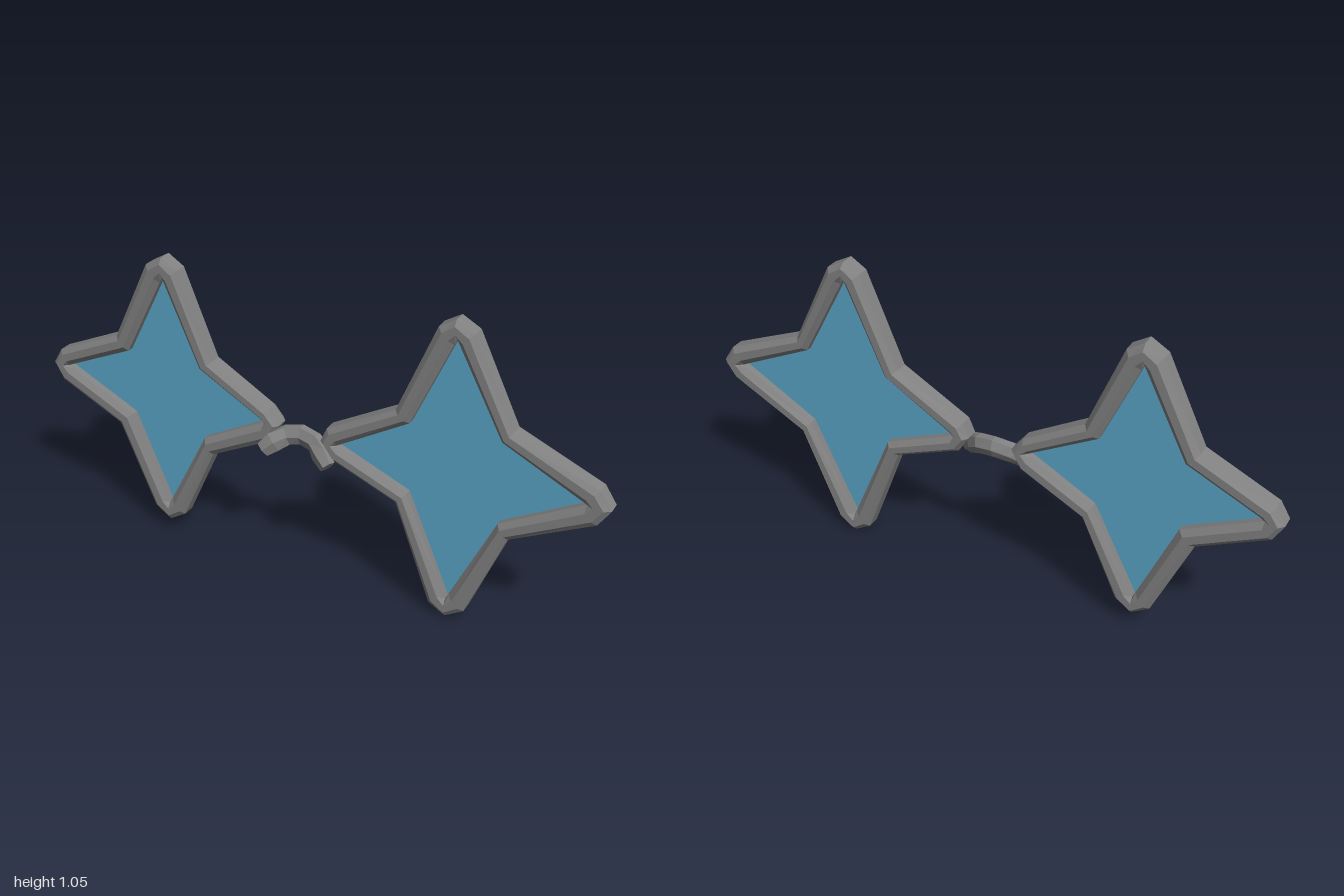
import * as THREE from 'three';

const frameGrey = new THREE.MeshStandardMaterial({ color: 0x828282, flatShading: true });
frameGrey.name = 'frameGrey';
const lensBlue = new THREE.MeshStandardMaterial({ color: 0x5aa5c8, side: THREE.DoubleSide });
lensBlue.name = 'lensBlue';

// Flat-sided skin over a row of cross-section rings, looped or capped
function loft(rings, looped) {
  const pos = [];
  const tri = (...pts) => pts.forEach((p) => pos.push(p.x, p.y, p.z));
  const n = rings.length, m = rings[0].length;
  for (let i = 0; i < (looped ? n : n - 1); i++) {
    const r = rings[i], s = rings[(i + 1) % n];
    for (let j = 0; j < m; j++) {
      const k = (j + 1) % m;
      tri(r[j], s[j], s[k]);
      tri(r[j], s[k], r[k]);
    }
  }
  if (!looped) {
    const a = rings[0], b = rings[n - 1];
    for (let j = 1; j < m - 1; j++) {
      tri(a[0], a[j], a[j + 1]);
      tri(b[0], b[j + 1], b[j]);
    }
  }
  const g = new THREE.BufferGeometry();
  g.setAttribute('position', new THREE.Float32BufferAttribute(pos, 3));
  g.computeVertexNormals();
  return g;
}

// Rim cross-section: [0 outer .. 1 inner, z]
const rimSection = [
  [0, 0.012], [0, -0.032], [0.28, -0.051], [0.7, -0.051],
  [1, -0.034], [1, 0.01], [0.7, 0.026], [0.28, 0.026],
];

// Clockwise outlines from the top; each blunt tip has three outer points
const leftOfView = {
  outer: [
    [-0.59, 1.005], [-0.53, 1.04], [-0.474, 1.005], [-0.356, 0.711],
    [-0.147, 0.59], [-0.108, 0.54], [-0.142, 0.475], [-0.362, 0.363],
    [-0.488, 0.086], [-0.549, 0.048], [-0.608, 0.086], [-0.736, 0.385],
    [-0.967, 0.497], [-1, 0.557], [-0.967, 0.612], [-0.726, 0.722],
  ],
  lens: [
    [-0.533, 0.968], [-0.404, 0.674], [-0.163, 0.54], [-0.394, 0.417],
    [-0.549, 0.115], [-0.683, 0.433], [-0.94, 0.557], [-0.683, 0.674],
  ],
};
const rightOfView = {
  outer: [
    [0.431, 1.02], [0.485, 1.053], [0.546, 1.02], [0.685, 0.733],
    [0.961, 0.616], [1, 0.557], [0.961, 0.497], [0.692, 0.36],
    [0.565, 0.043], [0.5, 0.003], [0.442, 0.037], [0.313, 0.38],
    [0.083, 0.472], [0.045, 0.53], [0.067, 0.58], [0.303, 0.711],
  ],
  lens: [
    [0.49, 0.99], [0.65, 0.69], [0.924, 0.557], [0.656, 0.406],
    [0.5, 0.07], [0.35, 0.422], [0.1, 0.525], [0.35, 0.674],
  ],
};

// One star: rim plus lens
function star({ outer, lens }, name) {
  const group = new THREE.Group();
  group.name = name;

  // Widen each lens tip into three points so it pairs with the outer outline
  const inner = [];
  lens.forEach(([x, y], i) => {
    if (i % 2) { inner.push([x, y]); return; }
    const toward = (q) => [x + (q[0] - x) * 0.06, y + (q[1] - y) * 0.06];
    inner.push(toward(lens[(i + 7) % 8]), [x, y], toward(lens[i + 1]));
  });

  const rings = outer.map((o, i) => rimSection.map(([t, z]) => new THREE.Vector3(
    o[0] + (inner[i][0] - o[0]) * t, o[1] + (inner[i][1] - o[1]) * t, z)));
  const rim = new THREE.Mesh(loft(rings, true), frameGrey);
  rim.name = 'starRim';

  const shape = new THREE.Shape(inner.map(([x, y]) => new THREE.Vector2(x, y)));
  const pane = new THREE.Mesh(new THREE.ShapeGeometry(shape), lensBlue);
  pane.name = 'lens';
  pane.position.z = -0.012;
  group.add(rim, pane);
  return group;
}

// Arched hexagonal nose bridge: [x, y, z, radius]
function bridge() {
  const path = [
    [-0.153, 0.455, 0.036, 0.025], [-0.122, 0.485, 0.02, 0.033], [-0.085, 0.507, -0.005, 0.031],
    [-0.037, 0.516, -0.014, 0.031], [0.015, 0.507, -0.005, 0.031],
    [0.05, 0.485, 0.018, 0.033], [0.083, 0.455, 0.036, 0.025],
  ];
  const at = (i) => new THREE.Vector3(...path[Math.min(Math.max(i, 0), path.length - 1)].slice(0, 3));
  const rings = path.map((p, i) => {
    const along = at(i + 1).sub(at(i - 1)).normalize();
    const back = new THREE.Vector3(0, 0, -1);
    back.addScaledVector(along, -back.dot(along)).normalize();
    const up = along.clone().cross(back);
    return Array.from({ length: 6 }, (_, j) => {
      const a = (j - 0.5) * Math.PI / 3;
      return at(i).addScaledVector(up, Math.cos(a) * p[3] * 1.15).addScaledVector(back, Math.sin(a) * p[3] * 0.85);
    });
  });
  const mesh = new THREE.Mesh(loft(rings, false), frameGrey);
  mesh.name = 'noseBridge';
  return mesh;
}

export function createModel() {
  const model = new THREE.Group();
  model.name = 'starGlasses';
  model.add(star(leftOfView, 'rightStar'), star(rightOfView, 'leftStar'), bridge());
  return model;
}
